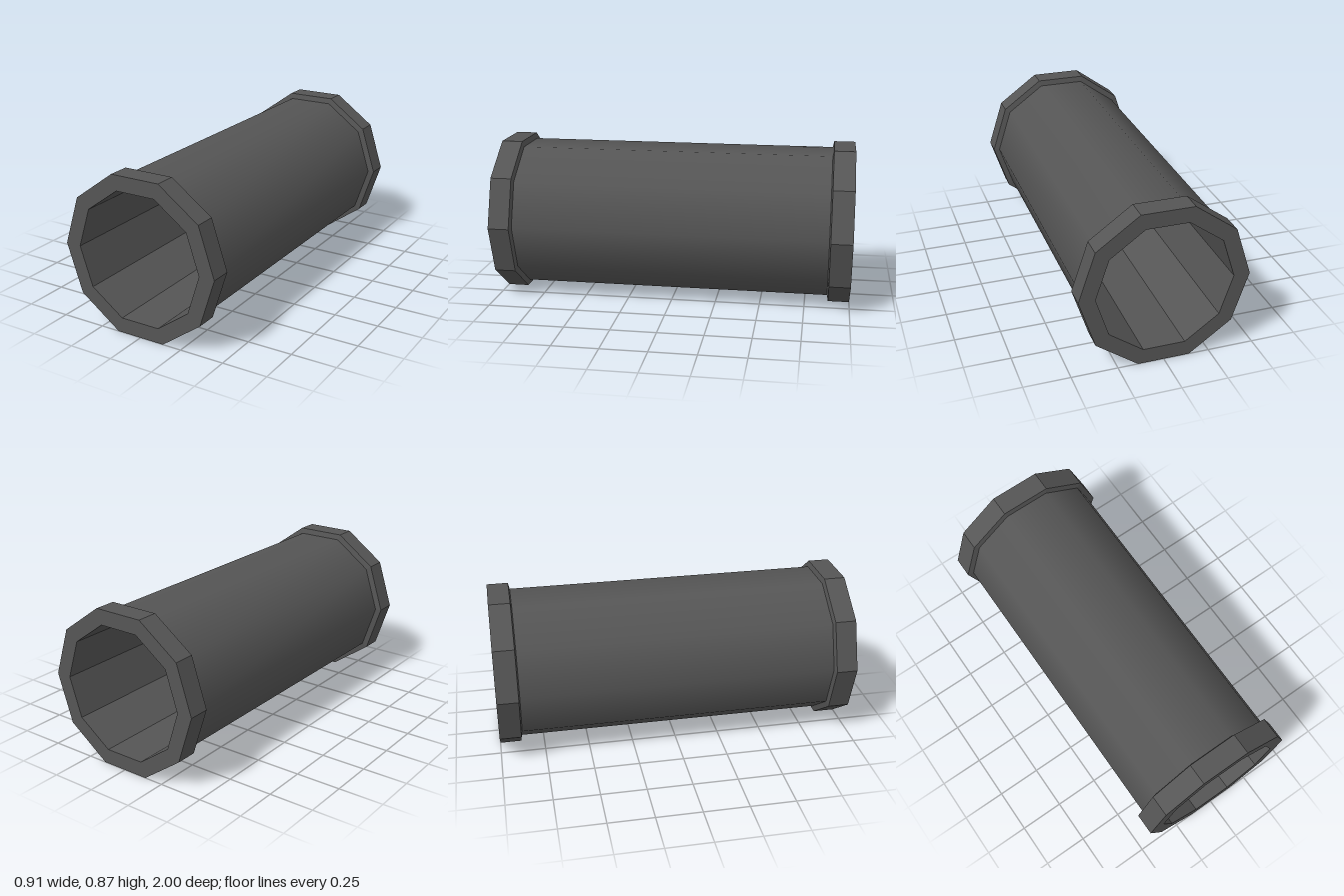
import * as THREE from 'three';

const SIDES = 10;
const OUTER = 0.457, BODY = 0.423, BORE = 0.369;
const CENTER_Y = 0.435;

// Ten-sided surface of revolution along z from [radius, z] points
function ring(profile, flat) {
  const points = profile.map(([r, z]) => new THREE.Vector2(r, z));
  let geometry = new THREE.LatheGeometry(points, SIDES, Math.PI / 2);
  geometry.rotateX(Math.PI / 2);
  if (flat) {
    geometry = geometry.toNonIndexed();
    geometry.computeVertexNormals();
  }
  return geometry;
}

export function createModel() {
  const model = new THREE.Group();
  model.name = 'pipe';
  const darkGrey = new THREE.MeshStandardMaterial({ color: 0x555555 });
  darkGrey.name = 'darkGrey';

  const add = (name, geometry) => {
    const mesh = new THREE.Mesh(geometry, darkGrey);
    mesh.name = name;
    mesh.position.y = CENTER_Y;
    model.add(mesh);
    return mesh;
  };

  // Smooth-shaded outer wall
  add('pipeWall', ring([[BODY, -0.88], [BODY, 0.88]], false));

  // Faceted inner wall, facing the axis
  add('bore', ring([[BORE, 1], [BORE, -1]], true));

  // Matching collars with a slightly sloped inner shoulder
  const collar = ring([[BODY, 0.875], [OUTER, 0.882], [OUTER, 1], [BORE, 1]], true);
  add('frontCollar', collar);
  add('backCollar', collar).rotation.y = Math.PI;

  return model;
}
